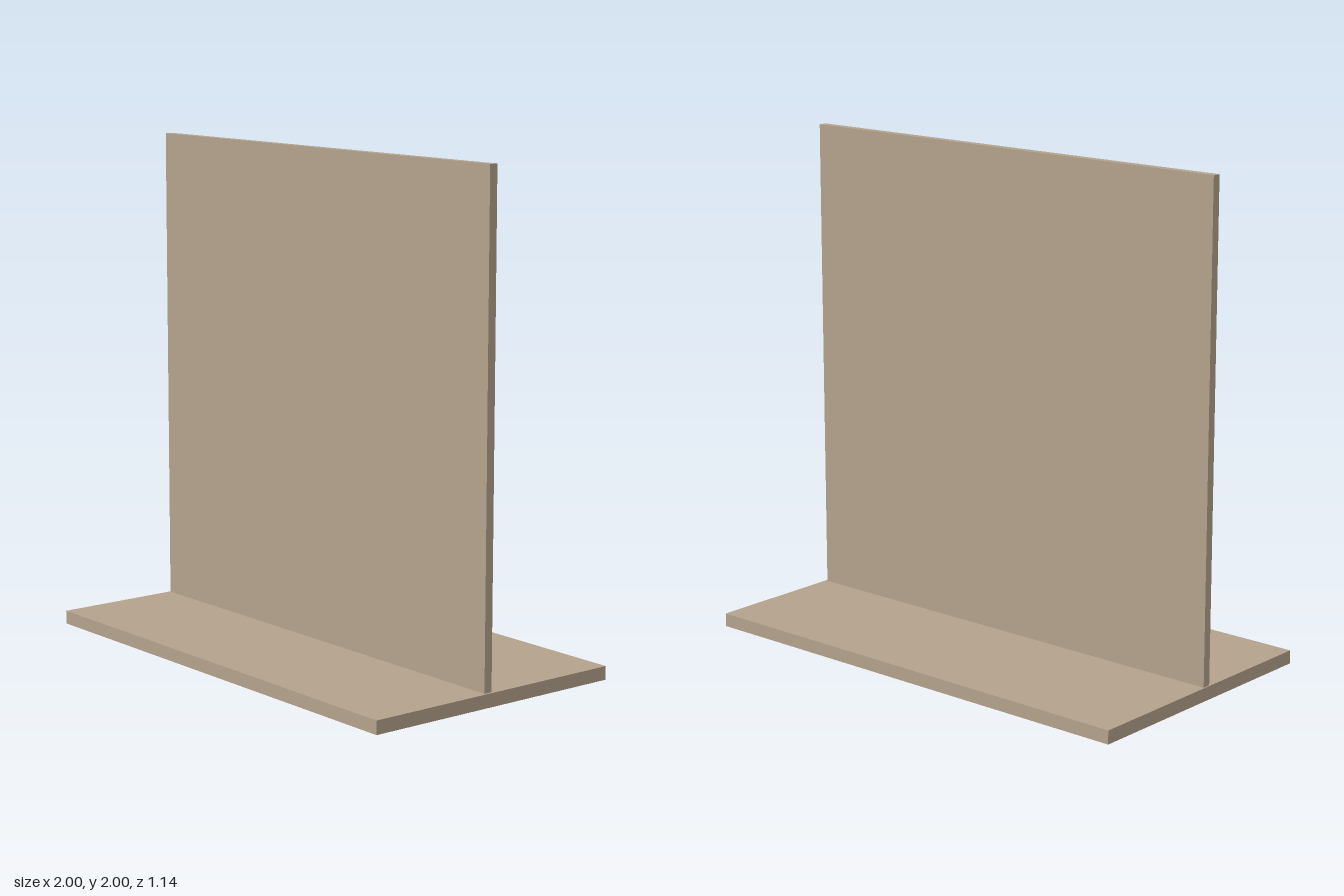
import * as THREE from 'three';

export function createModel() {
  const group = new THREE.Group();
  const material = new THREE.MeshStandardMaterial({ color: 0xb4a38c });

  // Box given by its minimum and maximum corners
  function slab(name, min, max) {
    const size = max.map((v, i) => v - min[i]);
    const mesh = new THREE.Mesh(new THREE.BoxGeometry(...size), material);
    mesh.position.set(...max.map((v, i) => (v + min[i]) / 2));
    mesh.name = name;
    group.add(mesh);
  }

  // Flat foot plate
  slab('base', [-1, 0, -0.57], [1, 0.054, 0.57]);
  // Thin upright board, slightly in front of the centre line
  slab('uprightPanel', [-0.995, 0.054, 0.01], [0.99, 2, 0.045]);

  return group;
}
